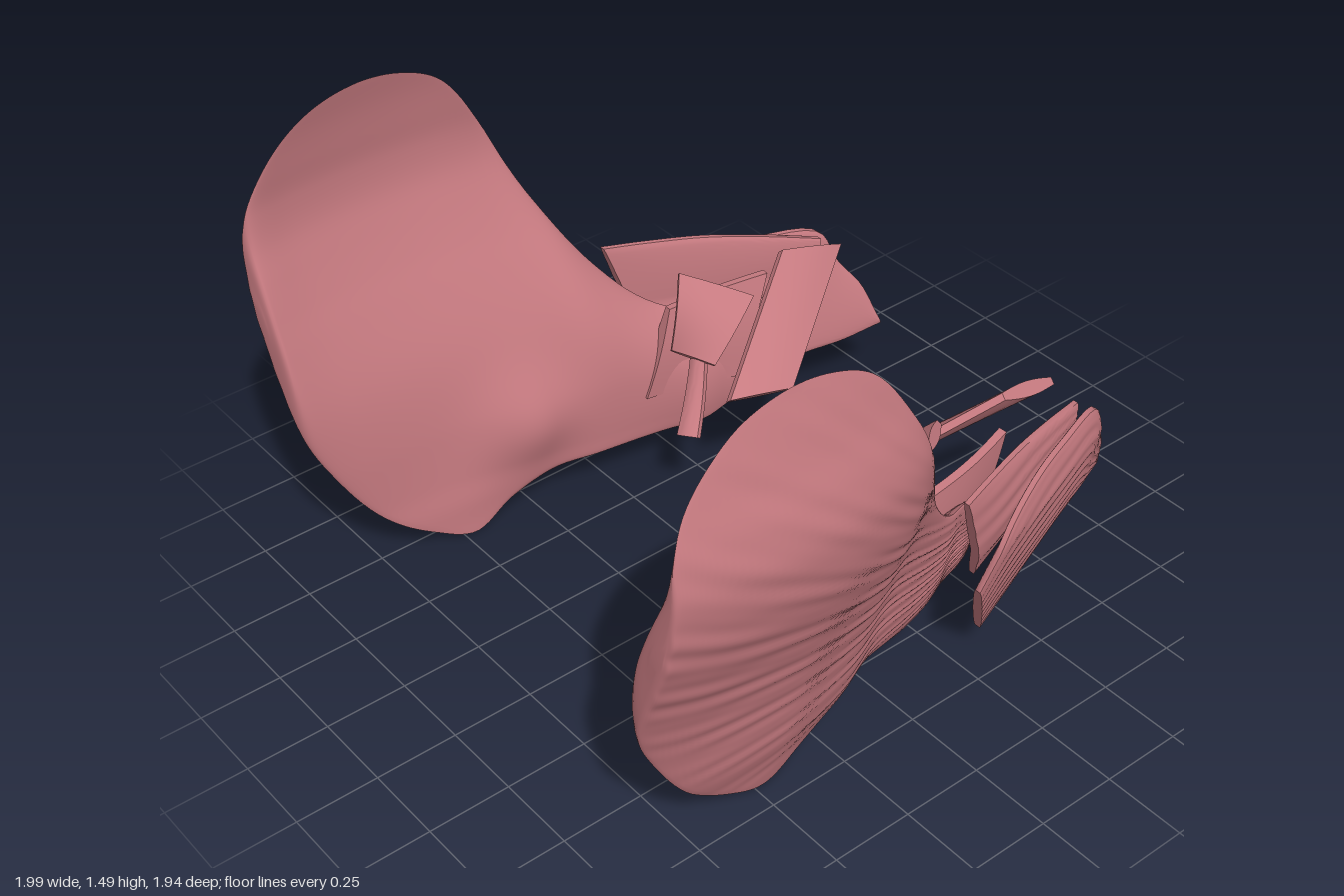
import * as THREE from 'three';
import { toCreasedNormals } from 'three/addons/utils/BufferGeometryUtils.js';

const material = new THREE.MeshStandardMaterial({ color: 0xc67a80, side: THREE.DoubleSide });

// Smooth interpolation in a short table of [key, value]
function table(rows, k) {
  const n = rows.length - 1;
  if (k <= rows[0][0]) return rows[0][1];
  if (k >= rows[n][0]) return rows[n][1];
  const i = rows.findIndex(r => r[0] > k) - 1;
  const slope = j => {
    const a = rows[Math.max(0, j - 1)], b = rows[Math.min(n, j + 1)];
    return (b[1] - a[1]) / (b[0] - a[0]);
  };
  const [k0, v0] = rows[i], [k1, v1] = rows[i + 1], h = k1 - k0, t = (k - k0) / h, s = 1 - t;
  return v0 * (1 + 2 * t) * s * s + slope(i) * h * t * s * s + v1 * t * t * (3 - 2 * t) - slope(i + 1) * h * t * t * s;
}

// Smooth outline edge in the z, y plane
const edge = pts => new THREE.CatmullRomCurve3(pts.map(([z, y]) => new THREE.Vector3(0, y, z)));

// Closed solid lofted from ring sections; point(u, v, side) with side 0 outer, 1 inner
function shell(nu, nv, point, mirror, crease) {
  const pos = [], idx = [], ring = 2 * (nv + 1);
  for (let i = 0; i <= nu; i++) {
    for (let s = 0; s < 2; s++) {
      for (let j = 0; j <= nv; j++) {
        const p = point(i / nu, (s ? nv - j : j) / nv, s);
        pos.push(p.x * mirror, p.y, p.z);
      }
    }
  }
  const quad = (a, b, c, d) => idx.push(a, b, c, a, c, d);
  for (let i = 0; i < nu; i++) {
    for (let j = 0; j < ring; j++) {
      const k = (j + 1) % ring, a = i * ring, b = a + ring;
      quad(a + j, b + j, b + k, a + k);
    }
  }
  const last = nu * ring;
  for (let j = 0; j < nv; j++) {
    const k = ring - 1 - j;
    quad(j, j + 1, k - 1, k);
    quad(last + j, last + k, last + k - 1, last + j + 1);
  }
  // Make the faces point outwards
  const P = n => new THREE.Vector3().fromArray(pos, n * 3);
  let volume = 0;
  for (let t = 0; t < idx.length; t += 3) volume += P(idx[t]).dot(P(idx[t + 1]).cross(P(idx[t + 2])));
  if (volume < 0) idx.reverse();
  const g = new THREE.BufferGeometry();
  g.setAttribute('position', new THREE.Float32BufferAttribute(pos, 3));
  g.setIndex(idx);
  g.computeVertexNormals();
  return crease ? toCreasedNormals(g, crease) : g;
}

// Large fan: outer x by height, inward shift by depth, thickness by height
const FAN_X = [[0, .685], [.1, .715], [.2, .75], [.4, .795], [.6, .855], [.8, .93], [.9, .965], [1, .988], [1.1, .998], [1.2, .982], [1.3, .95], [1.4, .92], [1.49, .89]];
const FAN_IN = [[-.53, .28], [-.4, .22], [-.3, .2], [-.2, .16], [-.1, .135], [.05, .11], [.2, .05], [.4, .01], [.6, 0], [.8, .015], [.97, .05]];
const FAN_T = [[0, .03], [.15, .08], [.35, .095], [.6, .11], [.9, .1], [1.1, .075], [1.3, .035], [1.49, .008]];
const fanLow = edge([[.97, .85], [.95, .55], [.88, .38], [.75, .18], [.6, .06], [.46, 0], [.33, .07], [.2, .12], [.05, .14], [-.12, .14], [-.28, .15], [-.42, .19]]);
const fanHigh = edge([[.97, .95], [.95, 1.2], [.88, 1.34], [.75, 1.45], [.6, 1.49], [.46, 1.475], [.33, 1.41], [.2, 1.22], [.08, .95], [-.05, .72], [-.2, .56], [-.45, .46]]);

function fanPoint(u, v, side) {
  const p = fanLow.getPoint(u).lerp(fanHigh.getPoint(u), v);
  const ends = Math.min(1, .4 + u * 8, .4 + (1 - u) * 6);
  const round = Math.max(0, Math.sin(Math.PI * v)) ** (side ? .7 : .5) * ends;
  // Swelling low on the inner face
  const swell = .09 * Math.exp(-((p.z - .26) ** 2) / .02 - ((p.y - .3) ** 2) / .03);
  const t = table(FAN_T, p.y) + (side ? swell : 0);
  // Fibres fan out from the tail
  const a = Math.atan2(p.y - .3, p.z + .6);
  const fibre = side ? 0 : .0025 * round * (Math.sin(a * 95 + Math.sin(p.z * 9)) + .6 * Math.sin(a * 141 + 2 * p.z));
  p.x = table(FAN_X, p.y) - table(FAN_IN, p.z) - t * (side ? .25 + .75 * round : .25 - .25 * round) + fibre;
  return p;
}

// Slab between two edges, leaning inwards towards the back and the bottom
function slabPoint(low, high, shift, thick, grooves) {
  return (u, v, side) => {
    const p = low.getPoint(u).lerp(high.getPoint(u), v);
    const round = Math.sqrt(Math.max(0, Math.sin(Math.PI * v))) * (.45 + .55 * Math.sin(Math.PI * u));
    const fibre = side ? 0 : .003 * Math.sin(v * grooves + Math.sin(u * 7)) * round;
    p.x = .815 + .354 * (p.z + .18) - .25 * Math.max(0, .5 - p.y) - shift + fibre
      + (side ? -1 : 1) * thick * (.15 + .35 * round);
    return p;
  };
}
const outerSlab = slabPoint(
  edge([[-.32, .1], [-.5, .14], [-.7, .19], [-.85, .21], [-.97, .24]]),
  edge([[-.18, .39], [-.29, .53], [-.45, .6], [-.62, .61], [-.81, .59], [-.87, .47], [-.93, .38], [-.965, .27]]), 0, .06, 50);
const upperSlab = slabPoint(
  edge([[-.23, .38], [-.4, .4], [-.6, .44], [-.75, .5]]),
  edge([[-.12, .72], [-.25, .71], [-.42, .69], [-.6, .65], [-.78, .6]]), .055, .055, 30);

// Flat band between four corners, bowed across its thickness
function bandPoint(corners, thick, bow) {
  const [a, b, c, d] = corners.map(q => new THREE.Vector3(...q));
  const n = b.clone().sub(a).cross(d.clone().sub(a)).normalize();
  return (u, v, side) => {
    const p = a.clone().lerp(b, u).lerp(d.clone().lerp(c, u), v);
    const off = (side ? -.5 : .5) * thick * (.5 + .5 * Math.sin(Math.PI * v)) + bow * Math.sin(Math.PI * u);
    return p.addScaledVector(n, off);
  };
}
const longBand = bandPoint([[.455, .62, -.78], [.2, .41, -.37], [.25, .43, -.17], [.475, .68, -.56]], .045, 0);
const curvedBand = bandPoint([[.4, .63, -.39], [.35, .49, -.2], [.48, .5, -.14], [.54, .71, -.22]], .035, .02);
const shortBand = bandPoint([[.45, .52, -.2], [.35, .3, -.06], [.29, .31, -.09], [.4, .52, -.21]], .035, .01);
const tailFlap = bandPoint([[.51, .6, -.53], [.57, .58, -.2], [.56, .3, -.1], [.5, .28, -.4]], .05, .01);

export function createModel() {
  const model = new THREE.Group();
  const parts = [
    ['fanMuscle', 72, 110, fanPoint, 0],
    ['outerSlab', 32, 48, outerSlab, .9],
    ['upperSlab', 28, 30, upperSlab, .9],
    ['longBand', 16, 8, longBand, .6],
    ['curvedBand', 16, 8, curvedBand, .6],
    ['shortBand', 12, 8, shortBand, .6],
    ['tailFlap', 14, 8, tailFlap, .6],
  ];
  for (const [side, mirror] of [['left', 1], ['right', -1]]) {
    const group = new THREE.Group();
    group.name = side + 'Side';
    for (const [name, nu, nv, point, crease] of parts) {
      const mesh = new THREE.Mesh(shell(nu, nv, point, mirror, crease), material);
      mesh.name = name;
      group.add(mesh);
    }
    model.add(group);
  }
  return model;
}
